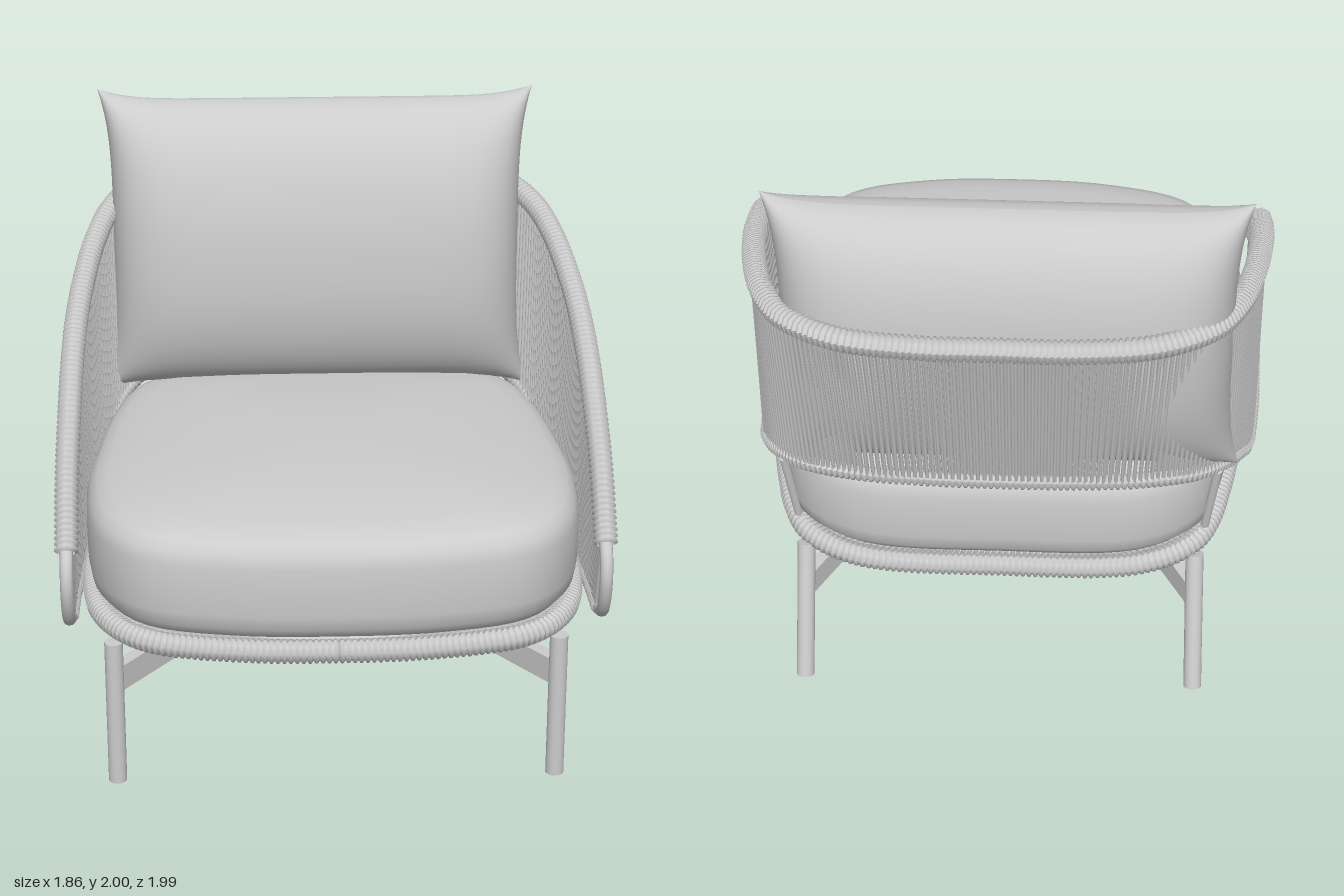
import * as THREE from 'three';
import { mergeGeometries, mergeVertices } from 'three/addons/utils/BufferGeometryUtils.js';

const V = (x, y, z) => new THREE.Vector3(x, y, z);
const UP = V(0, 1, 0);
const TILT = 0.04; // seat slopes down to the back

// Grid surface from a rule fn(u, v) -> Vector3, smooth shaded
function surface(fn, nu, nv) {
  const pos = [], idx = [];
  for (let j = 0; j <= nv; j++)
    for (let i = 0; i <= nu; i++) pos.push(...fn(i / nu, j / nv).toArray());
  for (let j = 0; j < nv; j++)
    for (let i = 0; i < nu; i++) {
      const a = j * (nu + 1) + i, b = a + 1, c = a + nu + 1, d = c + 1;
      idx.push(a, b, d, a, d, c);
    }
  let g = new THREE.BufferGeometry();
  g.setAttribute('position', new THREE.Float32BufferAttribute(pos, 3));
  g.setIndex(idx);
  g = mergeVertices(g, 1e-4);
  g.computeVertexNormals();
  return g;
}

// Round bar between two points
function rod(a, b, r, sides = 16, open = false) {
  const g = new THREE.CylinderGeometry(r, r, a.distanceTo(b), sides, 1, open);
  g.applyQuaternion(new THREE.Quaternion().setFromUnitVectors(UP, b.clone().sub(a).normalize()));
  return g.translate((a.x + b.x) / 2, (a.y + b.y) / 2, (a.z + b.z) / 2);
}

// Rectangular bar between two points
function bar(a, b, w, h) {
  const g = new THREE.BoxGeometry(w, h, a.distanceTo(b) + 0.03);
  const m = new THREE.Matrix4().lookAt(b, a, UP);
  return g.applyMatrix4(m).translate((a.x + b.x) / 2, (a.y + b.y) / 2, (a.z + b.z) / 2);
}

// Tube wrapped in cord: ridges across its length
function wrapped(curve, r, closed) {
  const wraps = Math.round(curve.getLength() / 0.021), sides = 9;
  const g = new THREE.TubeGeometry(curve, wraps * 3, r, sides, closed);
  const p = g.attributes.position, n = g.attributes.normal;
  for (let i = 0; i < p.count; i++) {
    const k = Math.floor(i / (sides + 1)) % 3 === 0 ? -0.007 : 0.003;
    p.setXYZ(i, p.getX(i) + n.getX(i) * k, p.getY(i) + n.getY(i) * k, p.getZ(i) + n.getZ(i) * k);
  }
  g.computeVertexNormals();
  return g;
}

// Mirrors a half path (ending on x = 0) across the middle
const mirrorPath = half => half.concat(half.slice(0, -1).reverse().map(([x, y, z]) => [-x, y, z]));
const spline = (pts, closed = false) =>
  new THREE.CatmullRomCurve3(pts.map(p => V(...p)), closed, 'centripetal');

export function createModel() {
  const group = new THREE.Group();
  const grey = new THREE.MeshStandardMaterial({ color: 0xcccccc });
  grey.name = 'light grey';
  grey.side = THREE.DoubleSide;
  const add = (name, g) => {
    const m = new THREE.Mesh(g, grey);
    m.name = name;
    group.add(m);
  };

  // Seat outline, from the front middle round by +x
  const half = [[0, 0, 0.98], [0.35, 0, 0.96], [0.65, 0, 0.87], [0.79, 0, 0.68], [0.84, 0, 0.35],
    [0.82, 0, 0], [0.77, 0, -0.35], [0.69, 0, -0.58], [0.5, 0, -0.71], [0, 0, -0.74]];
  const outline = spline(half.concat(half.slice(1, -1).reverse().map(([x, y, z]) => [-x, y, z])), true);
  const ringPoint = (u, s, h) => {
    const p = outline.getPointAt(u % 1);
    const z = 0.12 + (p.z - 0.12) * s;
    return V(p.x * s, h + TILT * z, z);
  };

  // Seat cushion
  const rows = [[0, 0], [0.9, 0], [0.96, 0.015], [0.99, 0.05], [1, 0.1], [1.002, 0.18], [1, 0.27], [0.985, 0.315],
    [0.955, 0.345], [0.91, 0.365], [0.82, 0.387], [0.6, 0.415], [0.3, 0.432], [0, 0.435]];
  add('seatCushion', surface((u, v) => {
    const [s, h] = rows[Math.round(v * (rows.length - 1))];
    return ringPoint(u, s, 0.575 + h);
  }, 96, rows.length - 1));

  // Back cushion: two bulging halves meeting in a seam with drawn-out corners
  const pillow = side => surface((a, b) => {
    const u = Math.sin((a - 0.5) * Math.PI), v = Math.sin((b - 0.5) * Math.PI);
    const x = side * u * (0.735 + 0.045 * v ** 4);
    const y = 1.435 + v * (0.52 + 0.045 * u ** 8);
    const t = 0.25 * Math.sqrt(Math.max(0, (1 - u ** 6) * (1 - Math.abs(v) ** 2.2)));
    return V(x - 0.025, y, -0.61 - 0.04 * v + side * t);
  }, 40, 32);
  add('backCushion', mergeGeometries([pillow(1), pillow(-1)]));

  // Woven shell: top and bottom rails
  const top = spline(mirrorPath([[0.89, 0.86, 0.77], [0.89, 1.05, 0.58], [0.885, 1.19, 0.4], [0.88, 1.3, 0.2],
    [0.87, 1.385, 0], [0.85, 1.455, -0.2], [0.82, 1.515, -0.4], [0.77, 1.56, -0.6], [0.68, 1.59, -0.77],
    [0.5, 1.615, -0.9], [0.25, 1.622, -0.945], [0, 1.625, -0.95]]));
  const bottom = spline(mirrorPath([[0.89, 0.58, 0.68], [0.89, 0.565, 0.53], [0.885, 0.55, 0.35], [0.88, 0.54, 0.18],
    [0.865, 0.535, 0], [0.845, 0.62, -0.18], [0.81, 0.74, -0.36], [0.755, 0.84, -0.53], [0.65, 0.905, -0.67],
    [0.47, 0.945, -0.76], [0.24, 0.955, -0.79], [0, 0.96, -0.8]]));
  add('topRail', wrapped(top, 0.038, false));
  add('bottomRail', wrapped(bottom, 0.026, false));

  // Shell cords in a staggered inner and outer layer
  const cords = [], count = 230;
  for (let i = 0; i <= count; i++)
    for (const layer of [-1, 1]) {
      const t = top.getUtoTmapping(Math.min(1, (i + (layer > 0 ? 0.5 : 0)) / count));
      const a = bottom.getPoint(t), b = top.getPoint(t), d = top.getTangent(t);
      const out = V(d.z, 0, -d.x).normalize().multiplyScalar(layer * 0.012);
      cords.push(rod(a.add(out), b.add(out), 0.007, 6, true));
    }
  add('shellCords', mergeGeometries(cords));

  // Seat base: wrapped ring, cords sloping in to an inner frame, and the panel
  const loop = (s, h, n = 48) =>
    spline(Array.from({ length: n }, (_, i) => ringPoint(i / n, s, h).toArray()), true);
  add('baseRing', wrapped(loop(0.98, 0.545), 0.038, true));
  add('innerRing', new THREE.TubeGeometry(loop(0.62, 0.435), 96, 0.014, 8, true));
  const baseCords = [];
  for (let i = 0; i < 230; i++)
    baseCords.push(rod(ringPoint(i / 230, 0.98, 0.525), ringPoint(i / 230, 0.62, 0.43), 0.008, 6, true));
  add('baseCords', mergeGeometries(baseCords));
  add('basePanel', surface((u, v) => ringPoint(u, 0.63 * v, 0.445), 64, 1));

  // Frame parts repeated on both sides
  for (const s of [1, -1]) {
    const side = s > 0 ? 'left' : 'right';
    add(side + 'ArmLoop', new THREE.TubeGeometry(spline([[0.89, 0.88, 0.75], [0.89, 0.82, 0.8], [0.89, 0.75, 0.815],
      [0.89, 0.66, 0.79], [0.89, 0.6, 0.74], [0.89, 0.575, 0.65]].map(([x, y, z]) => [x * s, y, z])), 32, 0.022, 12));
    add(side + 'FrontLeg', rod(V(0.745 * s, 0, 0.775), V(0.745 * s, 0.53, 0.775), 0.031, 24));
    add(side + 'BackLeg', rod(V(0.68 * s, 0.008, -0.765), V(0.67 * s, 0.5, -0.62), 0.031, 24));
    add(side + 'BackStrut', rod(V(0.7 * s, 0.53, -0.53), V(0.735 * s, 0.86, -0.6), 0.015, 12));
    const path = [V(0.735 * s, 0.39, 0.76), V(0.56 * s, 0.388, 0.53), V(0.56 * s, 0.35, -0.45), V(0.665 * s, 0.34, -0.64)];
    add(side + 'SideBeam', mergeGeometries([0, 1, 2].map(i => bar(path[i], path[i + 1], 0.045, 0.092))));
  }

  // Cross slats under the seat
  for (const z of [0.33, -0.12])
    add('crossSlat', new THREE.BoxGeometry(1.1, 0.05, 0.08).translate(0, 0.385, z));

  return group;
}
